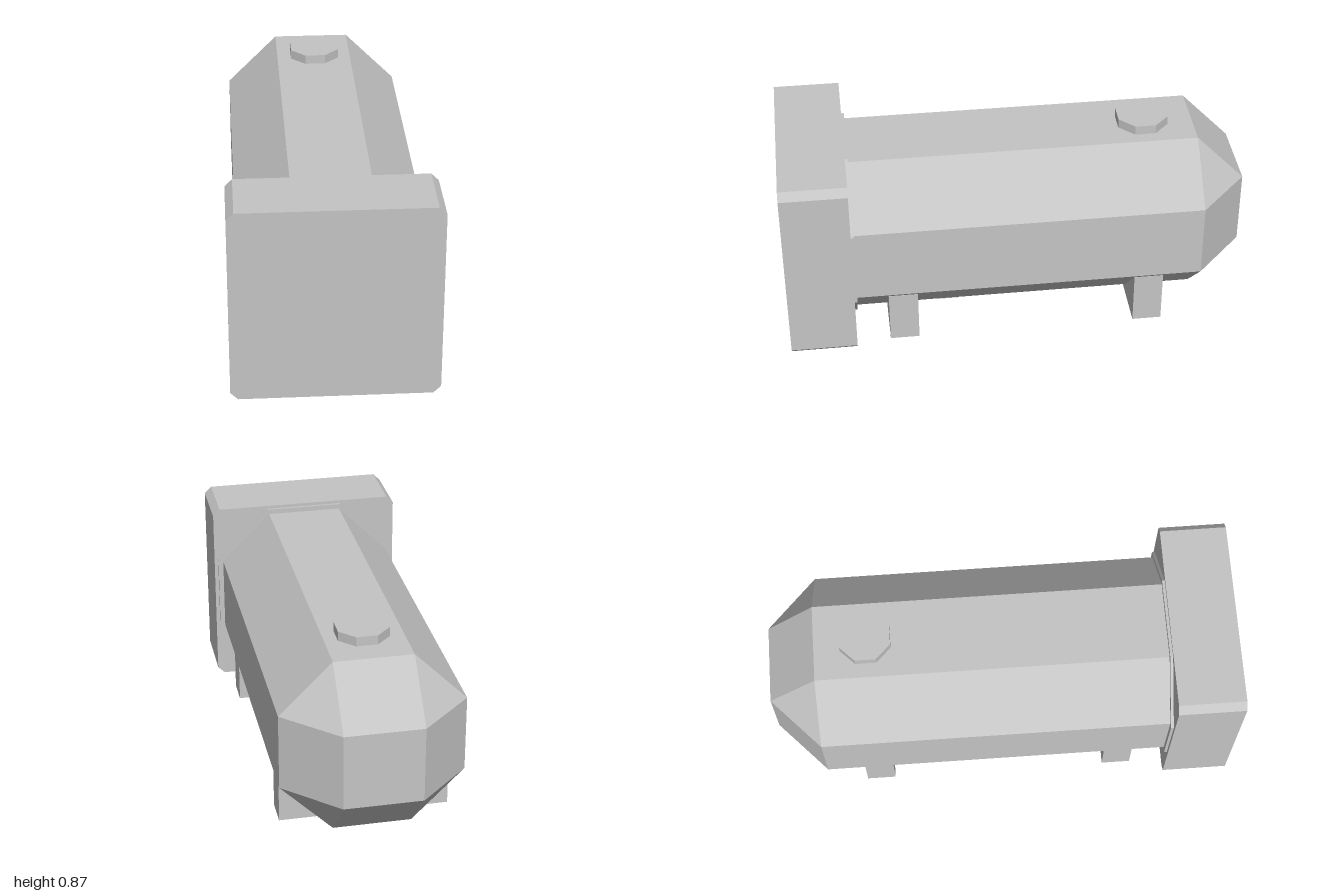
import * as THREE from 'three';
import { ConvexGeometry } from 'three/addons/geometries/ConvexGeometry.js';

const CENTRE_Y = 0.437;

export function createModel() {
  const group = new THREE.Group();
  group.name = 'horizontalTank';
  const grey = new THREE.MeshStandardMaterial({ color: 0xc4c4c4, flatShading: true });
  grey.name = 'plain grey';

  const add = (name, geometry, x, y, z) => {
    const mesh = new THREE.Mesh(geometry, grey);
    mesh.name = name;
    mesh.position.set(x, y, z);
    group.add(mesh);
  };

  // Eight corners of a square with cut corners: half size h, half flat length f
  const corners = (h, f) => [
    [f, -h], [h, -f], [h, f], [f, h], [-f, h], [-h, f], [-h, -f], [-f, -h],
  ];

  // Prism with cut corners, from z0 to z1
  const prism = (h, f, z0, z1) => {
    const shape = new THREE.Shape(corners(h, f).map(([x, y]) => new THREE.Vector2(x, y)));
    const geometry = new THREE.ExtrudeGeometry(shape, { depth: z1 - z0, bevelEnabled: false });
    return geometry.translate(0, 0, z0);
  };

  // Octagonal vessel with a faceted domed back end
  const points = [];
  for (const z of [0.72, -0.79]) {
    for (const [x, y] of corners(0.388, 0.166)) points.push(new THREE.Vector3(x, y, z));
  }
  for (const x of [-0.166, 0.166]) {
    for (const y of [-0.166, 0.166]) points.push(new THREE.Vector3(x, y, -1));
  }
  add('vessel', new ConvexGeometry(points), 0, CENTRE_Y, 0);

  // Thin collar and square front block
  add('collar', prism(0.41, 0.173, 0.703, 0.72), 0, CENTRE_Y, 0);
  add('frontBlock', prism(0.427, 0.396, 0.715, 1), 0, 0.434, 0);

  // Octagonal ports with flats facing the axes
  const port = new THREE.CylinderGeometry(0.116, 0.116, 0.06, 8).rotateY(Math.PI / 8);
  add('topPort', port, 0.003, 0.836, -0.572);
  add('bottomPort', port, 0.003, 0.03, 0.292);

  // Cross supports under the vessel
  const support = new THREE.BoxGeometry(0.728, 0.236, 0.126);
  add('frontSupport', support, 0, 0.127, 0.505);
  add('rearSupport', support, 0, 0.127, -0.567);

  return group;
}
